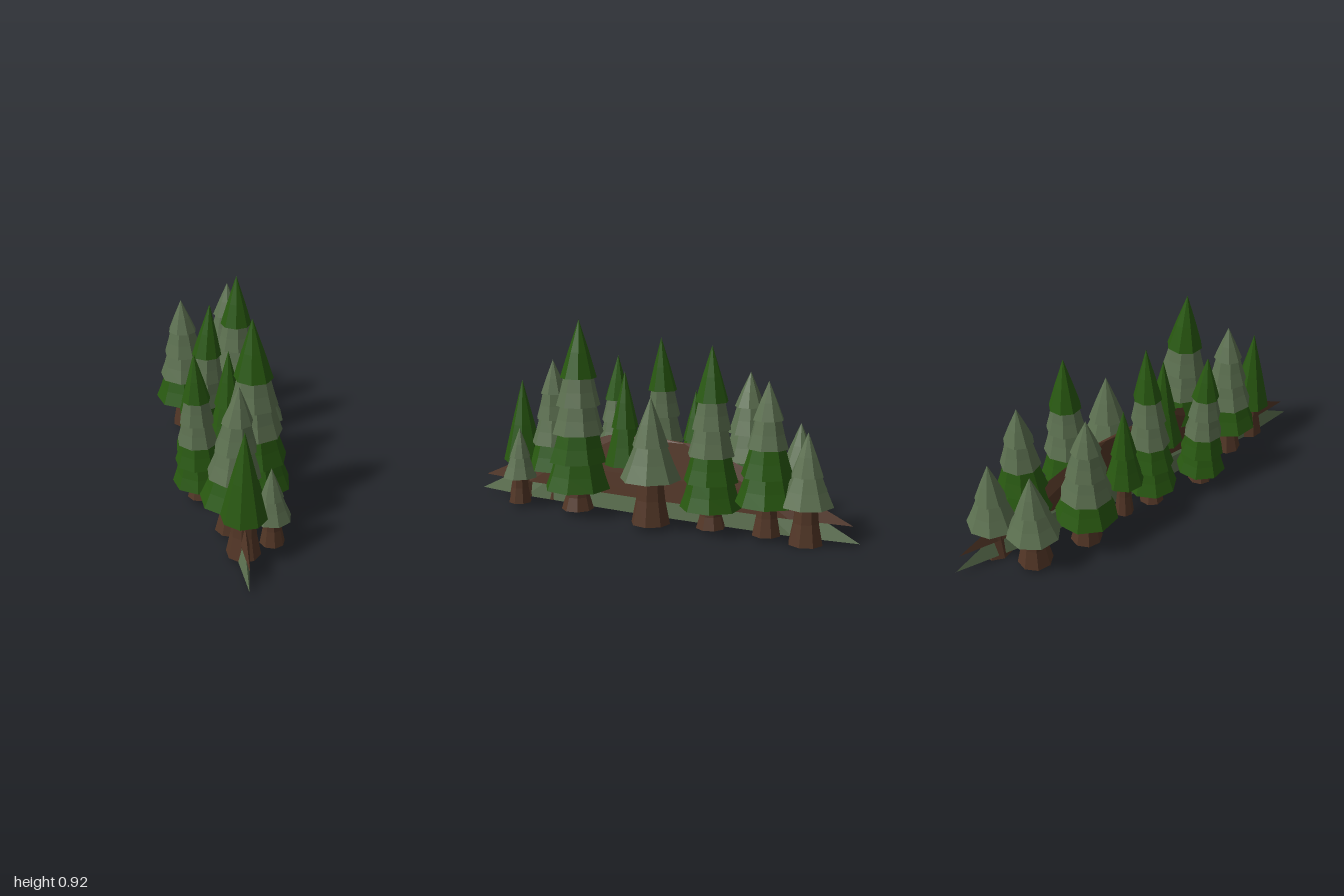
import * as THREE from 'three';

const SIDES = 8;
const BASE = 0.02;

const paint = (name, color) => {
  const m = new THREE.MeshStandardMaterial({ color, flatShading: true });
  m.name = name;
  return m;
};

// Faceted solid of revolution from [radius, height] pairs, listed bottom to top
function turned(name, profile, material, turn = 0) {
  const points = profile.map(([r, y]) => new THREE.Vector2(r, y));
  const mesh = new THREE.Mesh(new THREE.LatheGeometry(points, SIDES, turn), material);
  mesh.name = name;
  return mesh;
}

// Each kind of fir: skirt colours from the tip down, then fractions of the tree's
// height (first and last skirt edge) and of its radius (first skirt, trunk)
const kinds = {
  tall: { colours: 'gssgg', first: 0.705, last: 0.135, tipR: 0.54, trunkR: 0.48 },
  sage: { colours: 'sssg', first: 0.77, last: 0.245, tipR: 0.47, trunkR: 0.5 },
  mixed: { colours: 'ssgg', first: 0.76, last: 0.23, tipR: 0.5, trunkR: 0.47 },
  smallSage: { colours: 'ss', first: 0.63, last: 0.375, tipR: 0.61, trunkR: 0.65 },
  smallGreen: { colours: 'gg', first: 0.61, last: 0.35, tipR: 0.64, trunkR: 0.48 },
  cone: { colours: 'g', first: 0.33, last: 0.33, tipR: 1, trunkR: 0.75 },
};

// Fir with a tapered trunk and overlapping skirts; leanX shifts the tip sideways
function fir(kind, x, z, h, radius, leanX, turn, mats) {
  const { colours, first, last, tipR, trunkR } = kinds[kind];
  const g = new THREE.Group();
  const tr = radius * trunkR;
  const trunkTop = last * h + 0.04;
  g.add(turned('trunk',
    [[0, BASE], [tr, BASE], [tr * 0.75, trunkTop / 2], [tr * 0.6, trunkTop], [0, trunkTop]], mats.b, turn));

  let topY = h, topR = 0;
  [...colours].forEach((c, i) => {
    const f = i / Math.max(1, colours.length - 1);
    const y = h * THREE.MathUtils.lerp(first, last, f);
    const r = radius * THREE.MathUtils.lerp(tipR, 1, f);
    // a slight kink halfway gives each skirt its bend
    const midY = y + (topY - y) * 0.45;
    const midR = (topR + (r - topR) * 0.55) * (i ? 0.98 : 1.04);
    g.add(turned(i ? 'branchTier' : 'treeTop',
      [[0, y + 0.01], [r, y], [midR, midY], [topR, topY], [0, topY]], mats[c], turn + i * 0.12));
    topY = y + 0.02;
    topR = r * 0.78;
  });

  const lean = new THREE.Matrix4().makeShear(0, 0, leanX / h, 0, 0, 0);
  g.children.forEach((m) => m.geometry.applyMatrix4(lean));
  g.position.set(x, 0, z);
  return g;
}

export function createModel() {
  const mats = {
    g: paint('deep green', 0x285810),
    s: paint('sage green', 0x5c7050),
    b: paint('bark brown', 0x523626),
  };
  const model = new THREE.Group();
  model.name = 'treeLine';

  // Long narrow bank: sage foot with a brown earth ridge above
  const foot = turned('bankFoot', [[0, 0.01], [1, 0.02], [0.8, 0.12], [0, 0.2]], mats.s);
  foot.scale.x = 0.05;
  foot.position.x = 0.01;
  const ridge = turned('earthRidge', [[0, 0.1], [0.97, 0.095], [0.74, 0.2], [0.24, 0.37], [0, 0.385]], mats.b);
  ridge.scale.x = 0.042;
  ridge.position.x = 0.015;
  model.add(foot, ridge);

  let count = 0;
  const plant = (kind, x, z, h, radius, leanX = 0) => {
    const tree = fir(kind, x, z, h, radius, leanX, count * 0.37, mats);
    tree.name = `firTree${++count}`;
    model.add(tree);
    return tree;
  };

  // Back end; the rearmost tree stands a little lower
  plant('smallSage', 0.05, -0.77, 0.51, 0.12).position.y = -BASE;
  plant('smallSage', -0.13, -0.67, 0.49, 0.125);
  plant('mixed', 0.07, -0.595, 0.7, 0.14);
  plant('sage', -0.15, -0.405, 0.695, 0.148, -0.025);
  plant('tall', 0.09, -0.335, 0.84, 0.14);
  // Middle
  plant('smallGreen', -0.11, -0.16, 0.6, 0.095);
  plant('tall', -0.115, 0, 0.84, 0.125, 0.05);
  plant('smallSage', 0.155, -0.065, 0.6, 0.14);
  plant('smallGreen', 0.005, 0.155, 0.68, 0.1);
  plant('tall', -0.135, 0.285, 0.73, 0.12, -0.02);
  // Front end
  plant('tall', 0.115, 0.355, 0.92, 0.16, -0.03);
  plant('sage', -0.02, 0.555, 0.71, 0.145, 0.03);
  plant('cone', 0.015, 0.735, 0.6, 0.1);
  plant('smallSage', 0.145, 0.67, 0.385, 0.085, -0.01);
  return model;
}
